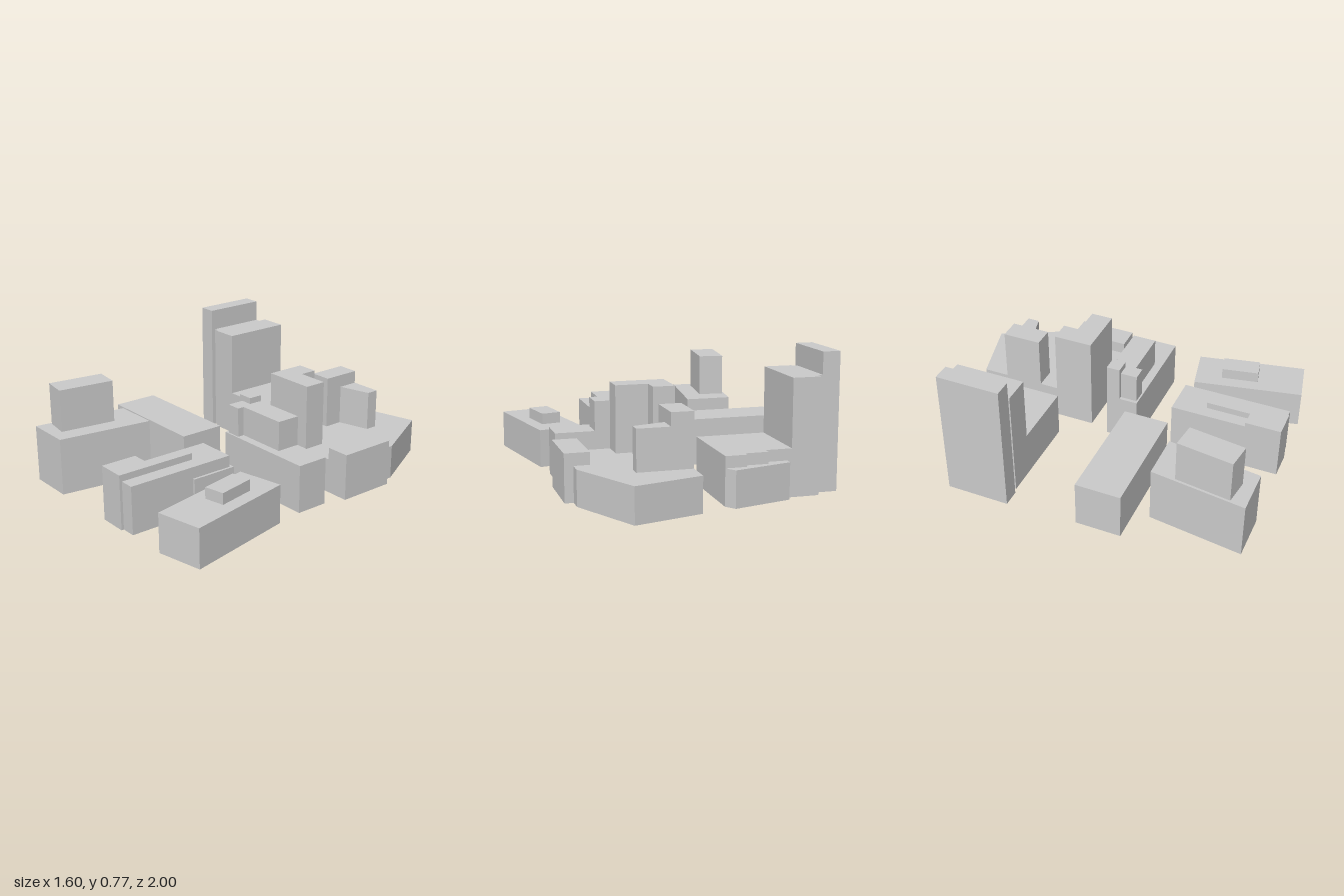
import * as THREE from 'three';

const material = new THREE.MeshStandardMaterial({ color: 0xcccccc, flatShading: true, side: THREE.DoubleSide });

// Upright block over a ground outline of [x, z] corners; its underside is open unless closed is set.
function block(name, outline, bottom, top, closed = false) {
  const shape = new THREE.Shape(outline.map(([x, z]) => new THREE.Vector2(x, -z)));
  let geometry = new THREE.ExtrudeGeometry(shape, { depth: top - bottom, bevelEnabled: false });
  geometry.rotateX(-Math.PI / 2).translate(0, bottom, 0);
  if (!closed) {
    const p = geometry.attributes.position;
    const kept = [];
    for (let i = 0; i < p.count; i += 3) {
      const under = [0, 1, 2].every((k) => Math.abs(p.getY(i + k) - bottom) < 1e-5);
      if (under) continue;
      for (let k = 0; k < 3; k++) kept.push(p.getX(i + k), p.getY(i + k), p.getZ(i + k));
    }
    geometry = new THREE.BufferGeometry();
    geometry.setAttribute('position', new THREE.Float32BufferAttribute(kept, 3));
    geometry.computeVertexNormals();
  }
  const mesh = new THREE.Mesh(geometry, material);
  mesh.name = name;
  return mesh;
}

const rect = (x0, x1, z0, z1) => [[x0, z0], [x0, z1], [x1, z1], [x1, z0]];

function building(name, ...parts) {
  const group = new THREE.Group();
  group.name = name;
  group.add(...parts);
  return group;
}

export function createModel() {
  const model = new THREE.Group();
  model.name = 'cityBlock';

  // Stepped high-rise with a low hall beside it
  model.add(building('highRise',
    block('tallTower', rect(-0.8, -0.7, -0.69, -0.32), 0, 0.775),
    block('towerJoint', rect(-0.7, -0.67, -0.69, -0.345), 0, 0.65),
    block('secondTower', rect(-0.67, -0.51, -0.74, -0.33), 0, 0.65),
    block('lowHall', [[-0.51, -0.33], [-0.11, -0.33], [-0.11, -0.81], [-0.23, -0.81],
      [-0.23, -0.78], [-0.36, -0.78], [-0.36, -0.74], [-0.51, -0.74]], 0, 0.27),
    block('rearWedge', [[-0.485, -0.74], [-0.36, -0.74], [-0.36, -0.78], [-0.23, -0.78],
      [-0.23, -0.81], [-0.11, -0.81], [-0.15, -0.865], [-0.485, -0.78]], 0, 0.205)));

  // Wide podium with two angular towers and a side annex
  model.add(building('podiumBuilding',
    block('podium', [[0.04, -0.18], [0.54, -0.18], [0.54, -0.52], [0.63, -0.52],
      [0.63, -0.6], [0.425, -1], [0.04, -0.9]], 0, 0.2),
    block('sideAnnex', rect(0.54, 0.68, -0.52, -0.18), 0, 0.27),
    block('frontTower', [[0.04, -0.18], [0.35, -0.18], [0.35, -0.31], [0.165, -0.31],
      [0.165, -0.41], [0.04, -0.41]], 0.2, 0.58),
    block('rearTower', rect(0.04, 0.165, -0.75, -0.52), 0.2, 0.505),
    block('rearWing', [[0.165, -0.63], [0.35, -0.68], [0.35, -0.75], [0.165, -0.75]], 0.2, 0.43)));

  // Long central slab with an upper storey and roof cap
  model.add(building('centralBuilding',
    block('centralBase', rect(0, 0.64, -0.06, 0.13), 0, 0.278),
    block('upperStorey', [[0.02, 0.12], [0.105, 0.12], [0.105, 0.08], [0.41, 0.08], [0.41, -0.06],
      [0.14, -0.06], [0.14, -0.05], [0.09, -0.05], [0.09, 0.02], [0.02, 0.02]], 0.278, 0.45),
    block('capTower', rect(0, 0.09, -0.06, 0.02), 0.278, 0.485)));

  // Plain long hall
  model.add(block('longHall', rect(-0.78, -0.095, 0.095, 0.36), 0, 0.278));

  // Slanted building with a rooftop tower
  model.add(building('slantedBuilding',
    block('slantedBase', [[-0.58, 0.45], [-0.65, 1], [-0.38, 1], [-0.305, 0.45]], 0, 0.333),
    block('rooftopTower', [[-0.583, 0.59], [-0.625, 0.91], [-0.478, 0.93], [-0.435, 0.607]], 0.333, 0.58)));

  // Narrow twin-strip building
  model.add(building('narrowBuilding',
    block('mainStrip', rect(0.05, 0.285, 0.33, 0.975), 0, 0.277),
    block('raisedFront', rect(0.035, 0.2, 0.78, 0.99), 0, 0.315),
    block('raisedSpine', rect(0.125, 0.2, 0.52, 0.78), 0.277, 0.315),
    block('sideLeanTo', rect(0.195, 0.3, 0.31, 0.58), 0, 0.21)));

  // Turned low building with a roof box
  model.add(building('turnedBuilding',
    block('turnedBase', [[0.4, 0.345], [0.53, 0.98], [0.795, 0.925], [0.665, 0.29]], 0, 0.225, true),
    block('roofBox', [[0.507, 0.485], [0.55, 0.7], [0.665, 0.675], [0.62, 0.46]], 0.225, 0.29)));

  return model;
}
